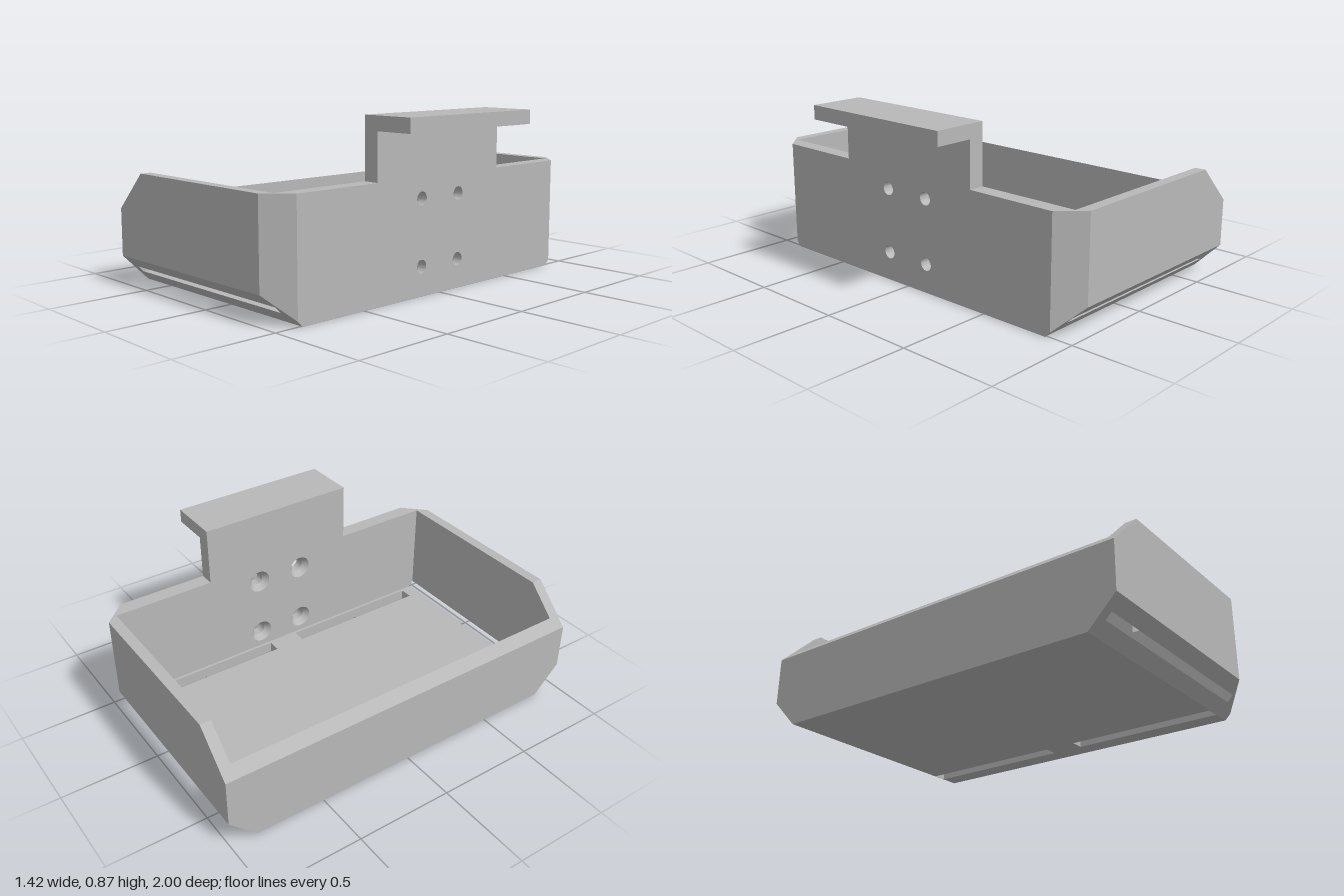
import * as THREE from 'three';
import { toCreasedNormals } from 'three/addons/utils/BufferGeometryUtils.js';
import { ConvexGeometry } from 'three/addons/geometries/ConvexGeometry.js';

const grey = new THREE.MeshStandardMaterial({ color: 0xb8b8b8, side: THREE.DoubleSide });
grey.name = 'grey plastic';

const LEFT = -0.71, CAVITY_LEFT = -0.66, CAVITY_RIGHT = 0.43, RIGHT = 0.51;
const INNER_Z = 0.945, FLOOR = 0.055, RIM = 0.57;
const BEVEL = 0.86;          // bottom bevel lies on z - y = 0.86
const CORNER = 1.397;        // upright corner bevel lies on x + z = 1.397
const TAB_Z = 0.42, TAB_TOP = 0.87;
const HOLE_R = 0.033, SINK_R = 0.06, SINK_X = 0.46;
const holes = [[-0.128, 0.145], [0.128, 0.145], [-0.128, 0.47], [0.128, 0.47]];

const polygon = (points) => new THREE.Shape(points.map(([a, b]) => new THREE.Vector2(a, b)));
const hull = (points) => new ConvexGeometry(points.map((p) => new THREE.Vector3(...p)));

// Move every vertex by a rule, then rebuild the normals
function reshape(geometry, rule) {
  const pos = geometry.attributes.position, v = new THREE.Vector3();
  for (let i = 0; i < pos.count; i++) {
    rule(v.fromBufferAttribute(pos, i));
    pos.setXYZ(i, v.x, v.y, v.z);
  }
  return toCreasedNormals(geometry, 0.4);
}

// Floor plate with two long slots and bevelled long edges
function floorGeometry() {
  const edge = BEVEL + FLOOR;
  const rect = (x0, x1, z0, z1) => [[x0, z0], [x1, z0], [x1, z1], [x0, z1]];
  const plan = polygon(rect(CAVITY_LEFT, CAVITY_RIGHT, -edge, edge));
  for (const [z0, z1] of [[-0.857, -0.083], [0.083, 0.857]]) {
    plan.holes.push(polygon(rect(0.345, 0.415, z0, z1)));
  }
  const g = new THREE.ExtrudeGeometry(plan, { depth: FLOOR, bevelEnabled: false });
  g.rotateX(Math.PI / 2).translate(0, FLOOR, 0);
  return reshape(g, (v) => {
    if (v.y < 0.01 && Math.abs(v.z) > 0.9) v.z = Math.sign(v.z) * BEVEL;
  });
}

// Side wall for one side (s = 1 or -1), with sloped end and bevelled corner
function sideWallGeometry(s) {
  const points = [];
  const section = (z, xEnd) => points.push(
    [LEFT, z - BEVEL, s * z], [LEFT, 0.38, s * z], [-0.515, RIM, s * z],
    [xEnd, RIM, s * z], [xEnd, z - BEVEL, s * z]);
  section(1, CORNER - 1);
  section(INNER_Z, CAVITY_RIGHT);
  const z = CORNER - CAVITY_RIGHT;
  points.push([CAVITY_RIGHT, RIM, s * z], [CAVITY_RIGHT, z - BEVEL, s * z]);
  return hull(points);
}

// Low end wall, its top edge following the slope of the side walls
function lowWallGeometry() {
  const points = [];
  for (const [x, top] of [[LEFT, 0.38], [CAVITY_LEFT, 0.4287]]) {
    for (const s of [-1, 1]) {
      points.push([x, 0, s * BEVEL], [x, INNER_Z - BEVEL, s * INNER_Z], [x, top, s * INNER_Z]);
    }
  }
  return hull(points);
}

// One layer of the tall wall with its tab and four screw holes
function tallWallLayer(x0, x1, radius) {
  const half = [[BEVEL, 0], [0.9, 0.04], [0.9, RIM], [TAB_Z, RIM], [TAB_Z, TAB_TOP]];
  const shape = polygon([...half, ...half.map(([z, y]) => [-z, y]).reverse()]);
  for (const [z, y] of holes) {
    shape.holes.push(new THREE.Path().absarc(z, y, radius, 0, Math.PI * 2, true));
  }
  const g = new THREE.ExtrudeGeometry(shape, { depth: x1 - x0, bevelEnabled: false, curveSegments: 16 });
  g.rotateY(Math.PI / 2).translate(x0, 0, 0);
  return reshape(g, (v) => {
    if (Math.abs(v.z) < 0.88) return;
    const z = CORNER - v.x;
    v.z = Math.sign(v.z) * z;
    if (v.y < 0.1) v.y = z - BEVEL;
  });
}

export function createModel() {
  const model = new THREE.Group();
  model.name = 'openTrayWithHook';
  const add = (name, geometry, parent = model) => {
    const mesh = new THREE.Mesh(geometry, grey);
    mesh.name = name;
    parent.add(mesh);
    return mesh;
  };

  add('floor', floorGeometry());
  add('frontSideWall', sideWallGeometry(1));
  add('backSideWall', sideWallGeometry(-1));
  add('lowEndWall', lowWallGeometry());

  // Tall wall: plain holes outside, countersinks inside
  const wall = new THREE.Group();
  wall.name = 'mountingWall';
  model.add(wall);
  add('outerLayer', tallWallLayer(SINK_X, RIGHT, HOLE_R), wall);
  add('innerLayer', tallWallLayer(CAVITY_RIGHT, SINK_X, SINK_R), wall);
  const depth = SINK_X - CAVITY_RIGHT;
  for (const [z, y] of holes) {
    const cone = new THREE.CylinderGeometry(HOLE_R, SINK_R, depth, 32, 1, true).rotateZ(-Math.PI / 2);
    add('countersink', cone, wall).position.set(CAVITY_RIGHT + depth / 2, y, z);
  }

  // Flange bent outwards from the top of the tab
  add('hookFlange', new THREE.BoxGeometry(0.2, 0.07, TAB_Z * 2)).position.set(0.61, 0.835, 0);
  return model;
}
